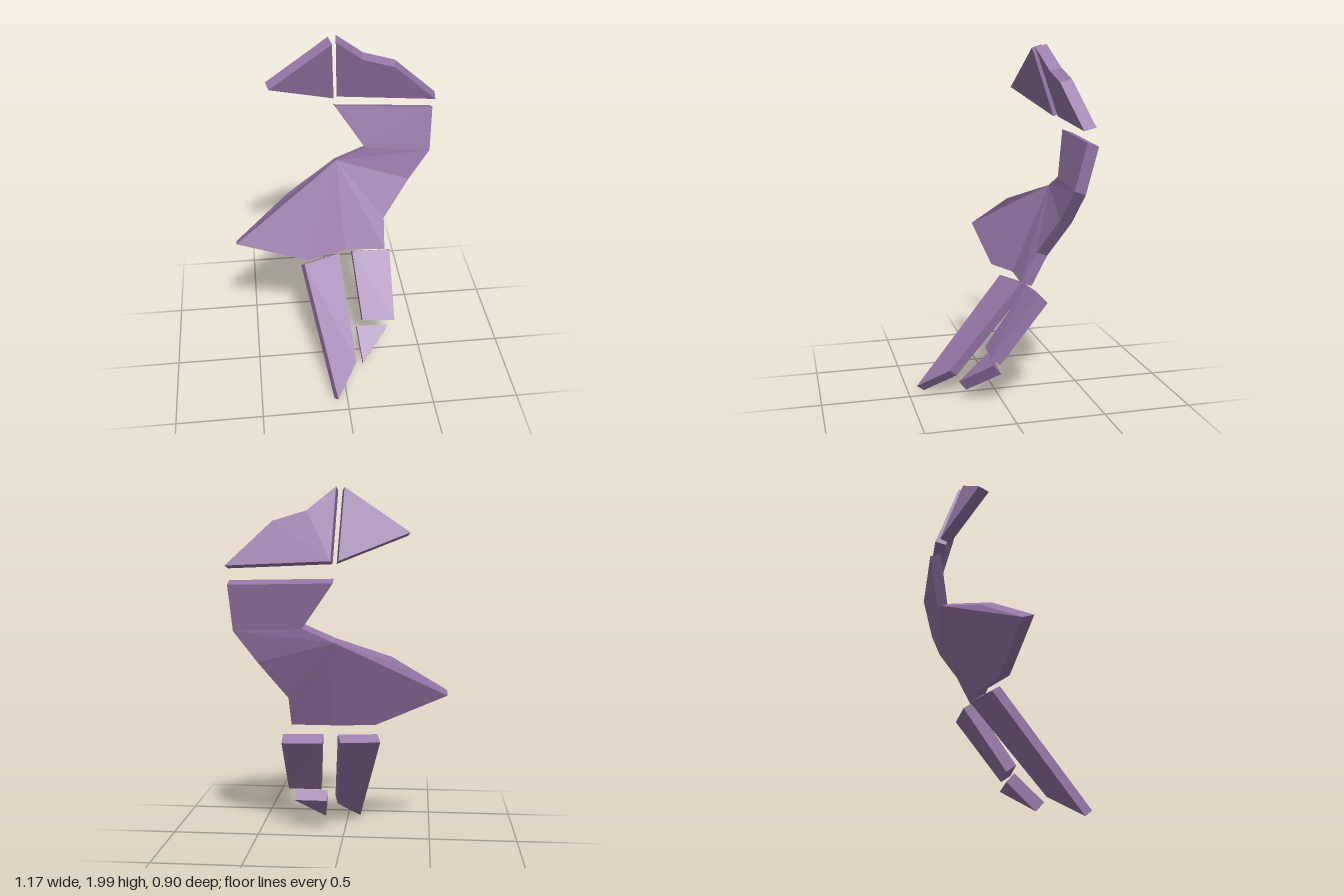
import * as THREE from 'three';

const material = new THREE.MeshStandardMaterial({ color: 0x9575a6, flatShading: true });

// Slab: a counter-clockwise front outline swept back by an offset.
// Each fan lists corner indices; its first corner joins all the others.
function slab(name, outline, offset, fans = [outline.map((_, i) => i)]) {
  const front = outline.map((p) => new THREE.Vector3(...p));
  const back = front.map((p) => p.clone().add(new THREE.Vector3(...offset)));
  const points = [];
  for (const fan of fans) {
    for (let i = 1; i < fan.length - 1; i++) {
      const [a, b, c] = [fan[0], fan[i], fan[i + 1]];
      points.push(front[a], front[b], front[c], back[a], back[c], back[b]);
    }
  }
  front.forEach((p, i) => {
    const j = (i + 1) % front.length;
    points.push(p, back[i], back[j], p, back[j], front[j]);
  });
  const geometry = new THREE.BufferGeometry().setFromPoints(points);
  geometry.computeVertexNormals();
  const mesh = new THREE.Mesh(geometry, material);
  mesh.name = name;
  return mesh;
}

export function createModel() {
  const model = new THREE.Group();
  model.name = 'shardFigure';

  // Two crest plates at the top
  model.add(slab('rightCrest', [
    [0.005, 1.603, -0.34], [-0.016, 1.98, -0.217], [-0.36, 1.747, -0.19],
  ], [-0.015, 0.018, -0.06]));
  model.add(slab('leftCrest', [
    [0.024, 1.603, -0.36], [0.58, 1.578, -0.317], [0.335, 1.808, -0.267],
    [0.157, 1.86, -0.267], [0.006, 1.983, -0.23],
  ], [0.006, 0.017, -0.063]));

  // Large body plate, folded between its inner corner and right edge
  model.add(slab('body', [
    [0.015, 1.216, -0.315], [-0.28, 1.095, -0.15], [-0.587, 0.889, 0],
    [-0.185, 0.72, -0.028], [0.045, 0.73, -0.095], [0.277, 0.727, -0.08],
    [0.281, 0.893, -0.165], [0.434, 1.1, -0.248], [0.557, 1.27, -0.28],
    [0.571, 1.518, -0.34], [0.016, 1.53, -0.39], [0.185, 1.29, -0.312],
  ], [-0.001, -0.021, -0.061], [[0, 1, 2, 3, 4, 5, 6, 7, 8, 11], [11, 8, 9, 10]]));

  // Lower plates
  model.add(slab('rightLeg', [
    [-0.2, 0.647, -0.085], [-0.057, 0.05, 0.45], [0.07, 0.175, 0.28], [0.016, 0.657, -0.16],
  ], [-0.018, -0.037, -0.045]));
  model.add(slab('leftLeg', [
    [0.095, 0.66, -0.165], [0.13, 0.325, 0.087], [0.322, 0.322, 0.102], [0.322, 0.657, -0.165],
  ], [0, -0.04, -0.055]));
  model.add(slab('leftFoot', [
    [0.096, 0.27, 0.068], [0.116, 0.125, 0.238], [0.286, 0.268, 0.078],
  ], [0.003, -0.052, -0.045]));

  return model;
}
